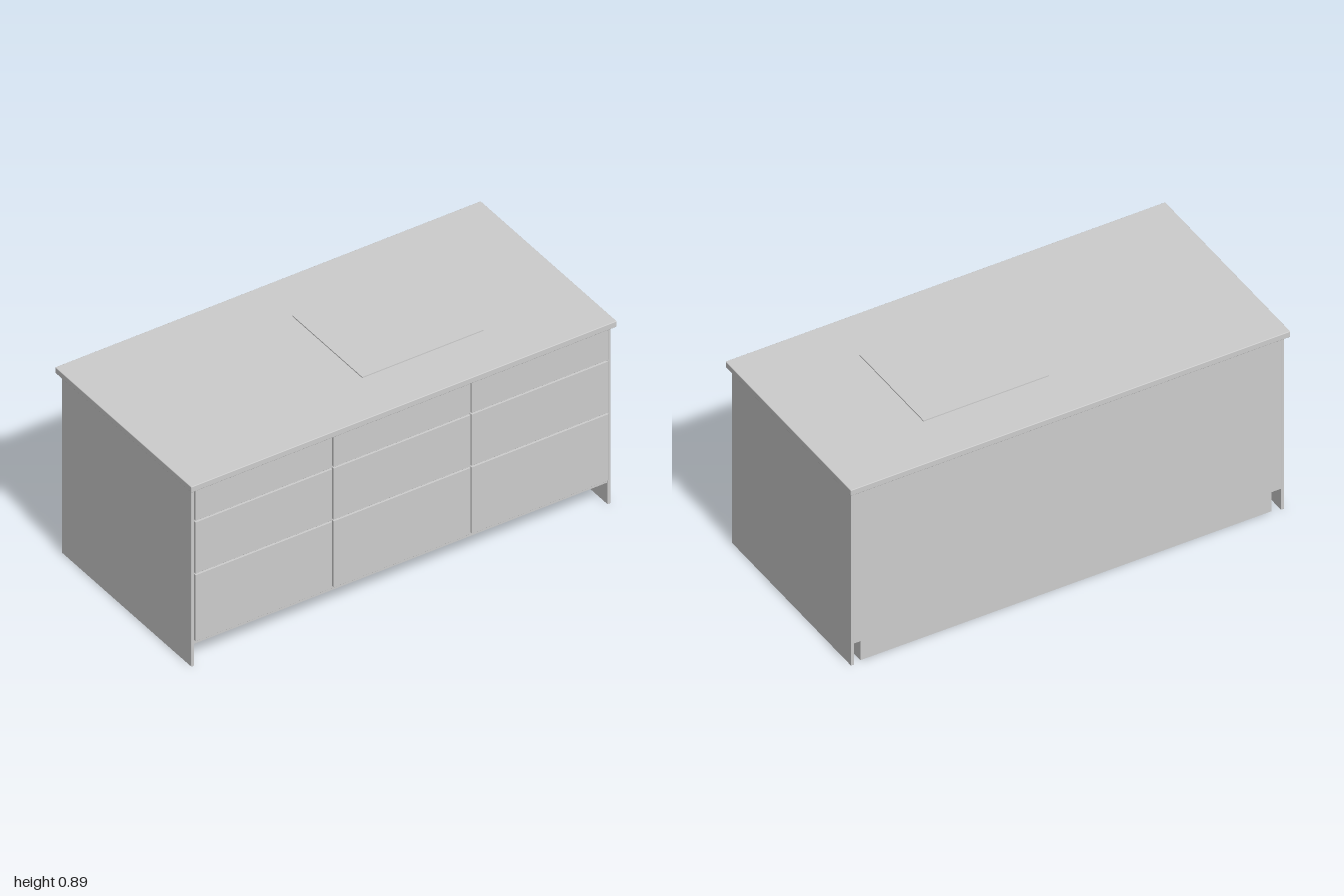
import * as THREE from 'three';
import { RoundedBoxGeometry } from 'three/addons/geometries/RoundedBoxGeometry.js';

export function createModel() {
  const group = new THREE.Group();
  group.name = 'kitchenIsland';
  const grey = new THREE.MeshStandardMaterial({ color: 0xcccccc });
  grey.name = 'plain grey';

  // Box given by its minimum and maximum corners, with optionally rounded edges
  function addBox(name, [x0, y0, z0], [x1, y1, z1], radius = 0) {
    const size = [x1 - x0, y1 - y0, z1 - z0];
    const geometry = radius
      ? new RoundedBoxGeometry(...size, 2, radius)
      : new THREE.BoxGeometry(...size);
    const mesh = new THREE.Mesh(geometry, grey);
    mesh.name = name;
    mesh.position.set((x0 + x1) / 2, (y0 + y1) / 2, (z0 + z1) / 2);
    group.add(mesh);
  }

  // Plinth, set back further at the front than at the rear
  addBox('plinth', [-0.935, 0, -0.445], [0.935, 0.103, 0.32]);

  // Cabinet body and the narrow shadow gap below the worktop
  addBox('cabinetBody', [-0.971, 0.103, -0.455], [0.971, 0.853, 0.455]);
  addBox('worktopSpacer', [-0.971, 0.853, -0.455], [0.971, 0.861, 0.418]);

  // Side panels reaching the floor
  for (const [name, side] of [['leftPanel', 1], ['rightPanel', -1]]) {
    const inner = 0.971 * side, outer = 0.985 * side;
    addBox(name, [Math.min(inner, outer), 0, -0.457], [Math.max(inner, outer), 0.856, 0.458], 0.0015);
  }

  // Three columns of three drawer fronts
  const columns = [[-0.97, -0.328], [-0.321, 0.321], [0.328, 0.97]];
  const rows = [[0.121, 0.442], [0.449, 0.697], [0.704, 0.854]];
  columns.forEach(([x0, x1], c) => rows.forEach(([y0, y1], r) => {
    addBox(`drawerFront${c + 1}${r + 1}`, [x0, y0, 0.455], [x1, y1, 0.466], 0.001);
  }));

  // Worktop with softened edges, and the thin hob plate
  addBox('worktop', [-1, 0.86, -0.481], [1, 0.888, 0.481], 0.003);
  addBox('hob', [-0.04, 0.886, -0.246], [0.53, 0.893, 0.246]);

  return group;
}
